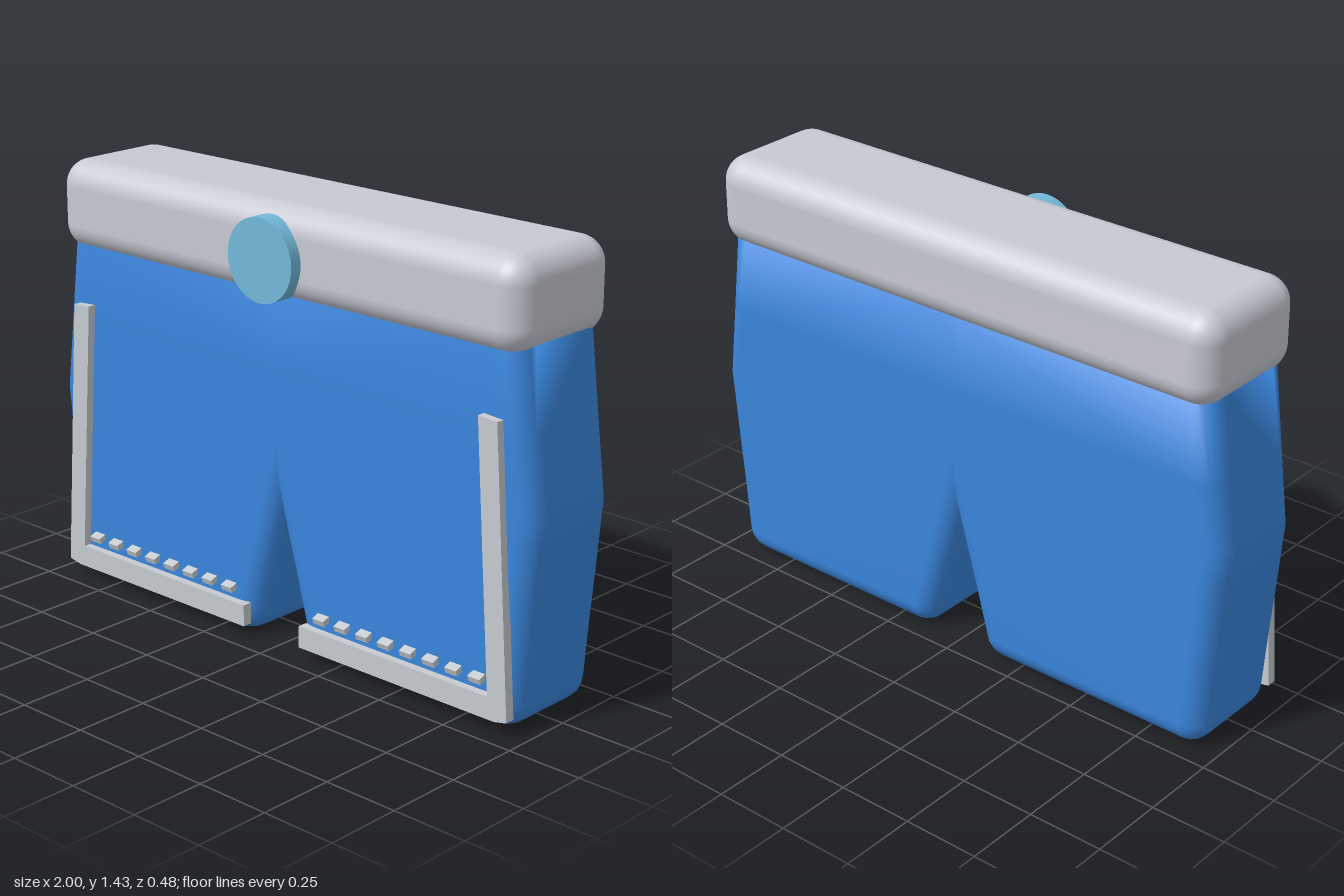
import * as THREE from 'three';
import { RoundedBoxGeometry } from 'three/addons/geometries/RoundedBoxGeometry.js';

const paint = (name, color) => {
  const m = new THREE.MeshStandardMaterial({ color });
  m.name = name;
  return m;
};

const BACK = -0.21, FRONT = 0.172, R = 0.075;

// One trouser leg: rounded-rectangle rings stacked upwards, closed at both ends
function legGeometry() {
  const rings = []; // [y, inner x, outer x, inset]
  for (let i = 0; i <= 5; i++) {
    const a = (i / 5) * Math.PI / 2;
    rings.push([R * (1 - Math.cos(a)), 0.105 - 0.01 * i / 5, 0.945 + 0.005 * i / 5, R * (1 - Math.sin(a))]);
  }
  rings.push([0.25, 0.048, 0.964, 0], [0.42, 0, 0.98, 0], [0.6, -0.05, 0.995, 0],
    [0.65, -0.065, 1.0, 0], [0.7, -0.08, 0.994, 0], [0.9, -0.09, 0.969, 0], [1.18, -0.09, 0.935, 0]);

  const pos = [], index = [], steps = 5;
  for (const [y, xi, xo, inset] of rings) {
    const corners = [[xo, FRONT, 0], [xi, FRONT, 1], [xi, BACK, 2], [xo, BACK, 3]];
    for (const [x, z, q] of corners) {
      const cx = x === xo ? xo - R : xi + R;
      const cz = z === FRONT ? FRONT - R : BACK + R;
      const r = R - inset * 0.9;
      for (let s = 0; s <= steps; s++) {
        const a = (q + s / steps) * Math.PI / 2;
        pos.push(cx + r * Math.cos(a), y, cz + r * Math.sin(a));
      }
    }
  }
  const n = 4 * (steps + 1);
  for (let j = 0; j < rings.length - 1; j++) {
    for (let i = 0; i < n; i++) {
      const a = j * n + i, b = j * n + (i + 1) % n;
      index.push(a, a + n, b, b, a + n, b + n);
    }
  }
  const top = (rings.length - 1) * n;
  for (let i = 1; i < n - 1; i++) {
    index.push(0, i, i + 1);
    index.push(top, top + i + 1, top + i);
  }
  const g = new THREE.BufferGeometry();
  g.setAttribute('position', new THREE.Float32BufferAttribute(pos, 3));
  g.setIndex(index);
  g.computeVertexNormals();
  return g;
}

// Mirrored copy with corrected face order
function mirrorX(geometry) {
  const g = geometry.index ? geometry.toNonIndexed() : geometry.clone();
  g.scale(-1, 1, 1);
  for (const key of ['position', 'normal']) {
    const a = g.attributes[key];
    for (let i = 0; i < a.count; i += 3) {
      const p = [a.getX(i + 1), a.getY(i + 1), a.getZ(i + 1)];
      a.setXYZ(i + 1, a.getX(i + 2), a.getY(i + 2), a.getZ(i + 2));
      a.setXYZ(i + 2, ...p);
    }
  }
  return g;
}

export function createModel() {
  const model = new THREE.Group();
  model.name = 'shorts';
  const blue = paint('blue cloth', 0x3a86dd);
  const grey = paint('waistband grey', 0xc8cad3);
  const trimGrey = paint('trim grey', 0xc6cbd0);
  const sky = paint('button blue', 0x72b8da);

  const add = (name, geometry, material, x = 0, y = 0, z = 0) => {
    const m = new THREE.Mesh(geometry, material);
    m.name = name;
    m.position.set(x, y, z);
    model.add(m);
    return m;
  };

  // Legs
  const leg = legGeometry();
  add('leftLeg', leg, blue);
  add('rightLeg', mirrorX(leg), blue);

  // Waistband and button
  add('waistband', new RoundedBoxGeometry(1.91, 0.295, 0.44, 5, 0.085), grey, 0, 1.282, -0.02);
  add('button', new THREE.CylinderGeometry(0.132, 0.132, 0.06, 40), sky, 0, 1.268, 0.21).rotation.x = Math.PI / 2;

  // L-shaped edge trim along the side seam and hem
  const outline = [[0.12, 0.04], [0.9, 0.04], [0.946, 0.05], [0.885, 0.955], [0.815, 0.96], [0.872, 0.112], [0.12, 0.112]];
  const trim = new THREE.ExtrudeGeometry(
    new THREE.Shape(outline.map(([x, y]) => new THREE.Vector2(x, y))), { depth: 0.033, bevelEnabled: false });
  trim.translate(0, 0, 0.166);
  add('leftTrim', trim, trimGrey);
  add('rightTrim', mirrorX(trim), trimGrey);

  // Hem stitches, tilted slightly upwards
  const stitch = new THREE.BoxGeometry(0.045, 0.02, 0.032);
  for (const side of [1, -1]) {
    for (let i = 0; i < 8; i++) {
      add('hemStitch', stitch, trimGrey, side * (0.2 + i * 0.0885), 0.151, 0.181).rotation.x = 0.35;
    }
  }
  return model;
}
